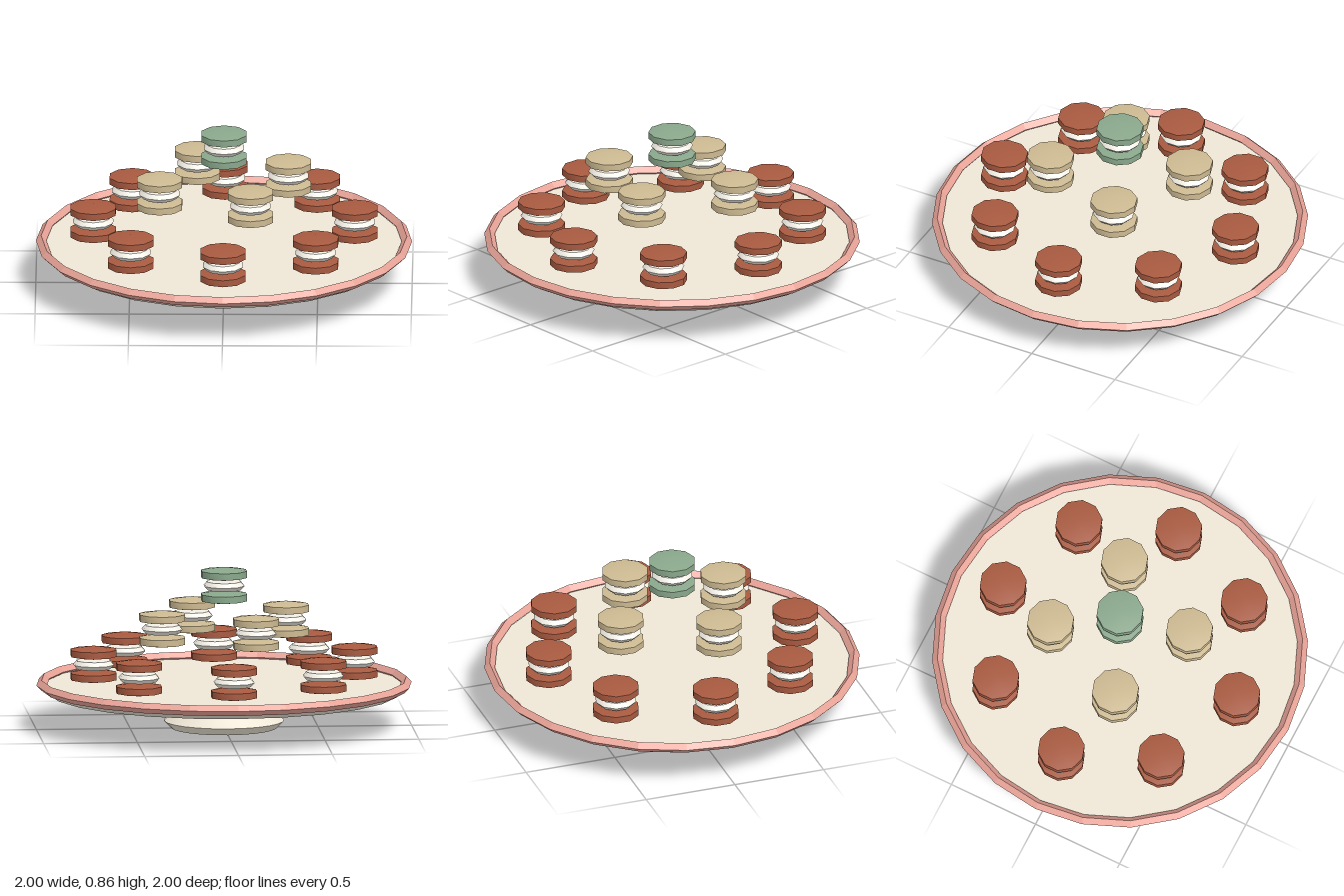
import * as THREE from 'three';
import { toCreasedNormals } from 'three/addons/utils/BufferGeometryUtils.js';

const paint = (color) => new THREE.MeshStandardMaterial({ color });
const CREAM = paint(0xeee6d6);
const PINK = paint(0xe8a397);
const FILLING = paint(0xf2eee4);
const RED = paint(0xa85a40);
const TAN = paint(0xcdba92);
const GREEN = paint(0x8aa88c);
PINK.flatShading = true;

// Turned shape: profile runs bottom to top, edges sharper than 40 degrees stay crisp
function turned(points, sides) {
  const profile = points.map(([r, y]) => new THREE.Vector2(r, y));
  return toCreasedNormals(new THREE.LatheGeometry(profile, sides), 0.7);
}

function addMesh(parent, name, geometry, material, y = 0) {
  const mesh = new THREE.Mesh(geometry, material);
  mesh.name = name;
  mesh.position.y = y;
  parent.add(mesh);
  return mesh;
}

const shellShape = turned([[0, -0.038], [0.126, -0.018], [0.126, 0.018], [0, 0.038]], 10);
const fillingShape = turned([[0, -0.025], [0.092, -0.022], [0.112, 0], [0.092, 0.022], [0, 0.025]], 10);

// Two domed shells around a bulging filling
function macaron(material) {
  const group = new THREE.Group();
  group.name = 'macaron';
  addMesh(group, 'lowerShell', shellShape, material, -0.0625);
  addMesh(group, 'filling', fillingShape, FILLING);
  addMesh(group, 'upperShell', shellShape, material, 0.0625);
  return group;
}

// Ring of evenly spaced macarons
function tier(name, count, radius, y, startAngle, material) {
  const group = new THREE.Group();
  group.name = name;
  for (let i = 0; i < count; i++) {
    const a = startAngle + (i / count) * Math.PI * 2;
    const item = macaron(material);
    item.position.set(Math.cos(a) * radius, y, Math.sin(a) * radius);
    group.add(item);
  }
  return group;
}

export function createModel() {
  const model = new THREE.Group();
  model.name = 'macaronStand';

  // Footed plate
  addMesh(model, 'plate', turned([
    [0, 0], [0.28, 0], [0.32, 0.04], [0.225, 0.108], [0.37, 0.15],
    [0.93, 0.185], [0.965, 0.21], [0.95, 0.228], [0, 0.228],
  ], 24), CREAM);

  // Diamond-section rim
  const rim = new THREE.TorusGeometry(0.972, 0.028, 4, 24).rotateX(Math.PI / 2);
  addMesh(model, 'rim', rim, PINK, 0.236);

  // Three tiers
  model.add(tier('bottomTier', 8, 0.695, 0.347, 0, RED));
  model.add(tier('middleTier', 4, 0.37, 0.555, -0.4, TAN));
  model.add(tier('topTier', 1, 0, 0.763, 0, GREEN));
  return model;
}
